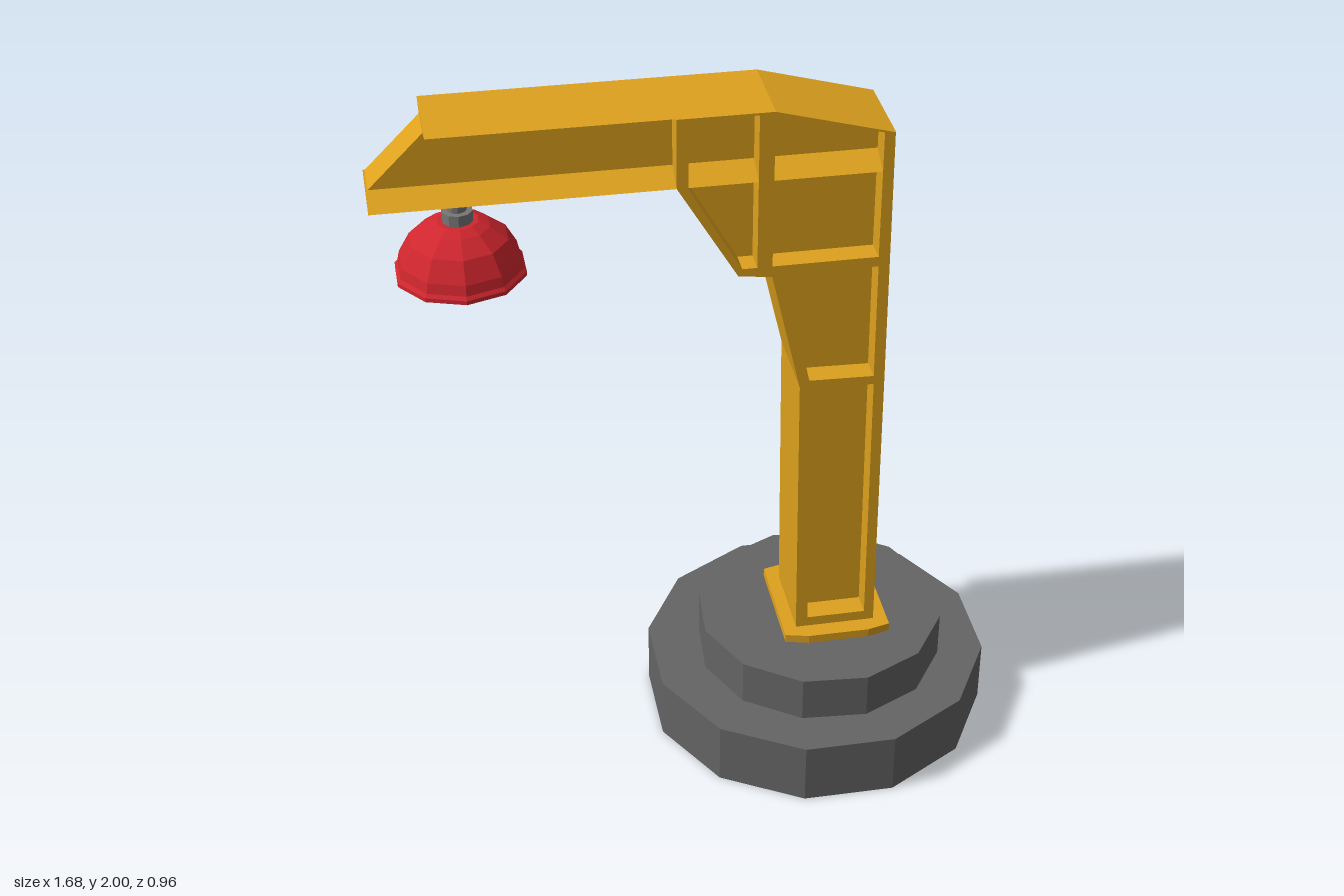
import * as THREE from 'three';

const mat = (color, side = THREE.FrontSide) =>
  new THREE.MeshStandardMaterial({ color, flatShading: true, side });

const ZC = 0.013;   // middle of the beam in z
const HALF = 0.12;  // half width of the flanges
const WEB = 0.055;  // half thickness of the web

const poly = (pts, C = THREE.Shape) => new C(pts.map(([x, y]) => new THREE.Vector2(x, y)));

export function createModel() {
  const root = new THREE.Group();
  const yellow = mat(0xdda11d);
  const stone = mat(0x646464);
  const steel = mat(0x777777);
  const red = mat(0xd0262e, THREE.DoubleSide);

  const add = (name, geometry, material, x = 0, y = 0, z = 0) => {
    const mesh = new THREE.Mesh(geometry, material);
    mesh.name = name;
    mesh.position.set(x, y, z);
    root.add(mesh);
    return mesh;
  };

  // Outline in the xy plane, extruded evenly about the beam's middle
  const slab = (name, shape, half) => add(name,
    new THREE.ExtrudeGeometry(shape, { depth: 2 * half, bevelEnabled: false }),
    yellow, 0, 0, ZC - half);

  // Knife-edged flange along x, wide at yEdge and as thin as the web at yWeb
  const flange = (name, x0, x1, yEdge, yWeb, drop = 0) => {
    const section = poly([[-HALF, yEdge], [HALF, yEdge], [WEB, yWeb], [-WEB, yWeb]]);
    const g = new THREE.ExtrudeGeometry(section, { depth: x1 - x0, bevelEnabled: false });
    g.rotateY(Math.PI / 2);
    const p = g.attributes.position;
    for (let i = 0; i < p.count; i++) p.setY(i, p.getY(i) - drop * p.getX(i) / (x1 - x0));
    g.computeVertexNormals();
    add(name, g, yellow, x0, 0, ZC);
  };

  // Stepped base
  add('lowerBase', new THREE.CylinderGeometry(0.495, 0.495, 0.185, 12), stone, 0.36, 0.0925, 0)
    .rotation.y = Math.PI / 12;
  add('upperBase', new THREE.CylinderGeometry(0.356, 0.356, 0.135, 12), stone, 0.367, 0.2525, 0.01)
    .rotation.y = THREE.MathUtils.degToRad(10.5);

  // Foot plate with clipped corners
  const foot = poly([[0.235, -0.157], [0.3, -0.173], [0.475, -0.173], [0.54, -0.157],
    [0.54, 0.157], [0.475, 0.173], [0.3, 0.173], [0.235, 0.157]]);
  const footGeo = new THREE.ExtrudeGeometry(foot, { depth: 0.03, bevelEnabled: false });
  footGeo.rotateX(-Math.PI / 2);
  add('footPlate', footGeo, yellow, 0, 0.315, 0.008);

  // Column and gusset frame: rim and stiffeners around open panels
  const frame = poly([[0.272, 0.33], [0.5, 0.33], [0.495, 1.17], [0.49, 1.914], [0.18, 1.998],
    [-0.07, 1.998], [-0.07, 1.805], [0.09, 1.535], [0.18, 1.523], [0.262, 1.17]]);
  const panels = [
    [[0.305, 0.375], [0.472, 0.375], [0.466, 1.16], [0.29, 1.155]],
    [[0.288, 1.19], [0.465, 1.185], [0.463, 1.527], [0.21, 1.522]],
    [[0.18, 1.555], [0.462, 1.555], [0.462, 1.916], [0.18, 1.992]],
    [[-0.04, 1.8], [0.1, 1.555], [0.14, 1.555], [0.14, 1.992], [-0.04, 1.992]],
  ];
  frame.holes = panels.map((p) => poly(p, THREE.Path));
  slab('columnFrame', frame, HALF);

  // Web filling the middle of the column and the arm
  slab('web', poly([[0.285, 0.34], [0.485, 0.34], [0.48, 1.9], [0.18, 1.985], [-0.69, 1.985],
    [-0.84, 1.835], [-0.84, 1.807], [-0.065, 1.807], [0.095, 1.545], [0.185, 1.535],
    [0.275, 1.17]]), WEB);

  // Arm flanges
  flange('armTopFlange', -0.69, 0.18, 2.0, 1.98);
  flange('armTopFlangeSlope', 0.18, 0.49, 2.0, 1.98, 0.084);
  flange('armBottomFlange', -0.84, 0.47, 1.805, 1.84);

  // Hanging lamp
  const LX = -0.615;
  add('lampRod', new THREE.CylinderGeometry(0.025, 0.025, 0.09, 10), steel, LX, 1.77, ZC);
  add('lampCollar', new THREE.CylinderGeometry(0.041, 0.041, 0.04, 10), steel, LX, 1.715, ZC);
  const profile = [[0, 1.68], [0.07, 1.675], [0.11, 1.645], [0.14, 1.595], [0.148, 1.555],
    [0.174, 1.555], [0.174, 1.566], [0.166, 1.575], [0.16, 1.602], [0.13, 1.657],
    [0.084, 1.692], [0.055, 1.705], [0, 1.705]].map(([r, y]) => new THREE.Vector2(r, y));
  add('lampShade', new THREE.LatheGeometry(profile, 10), red, LX, 0, ZC);

  return root;
}
